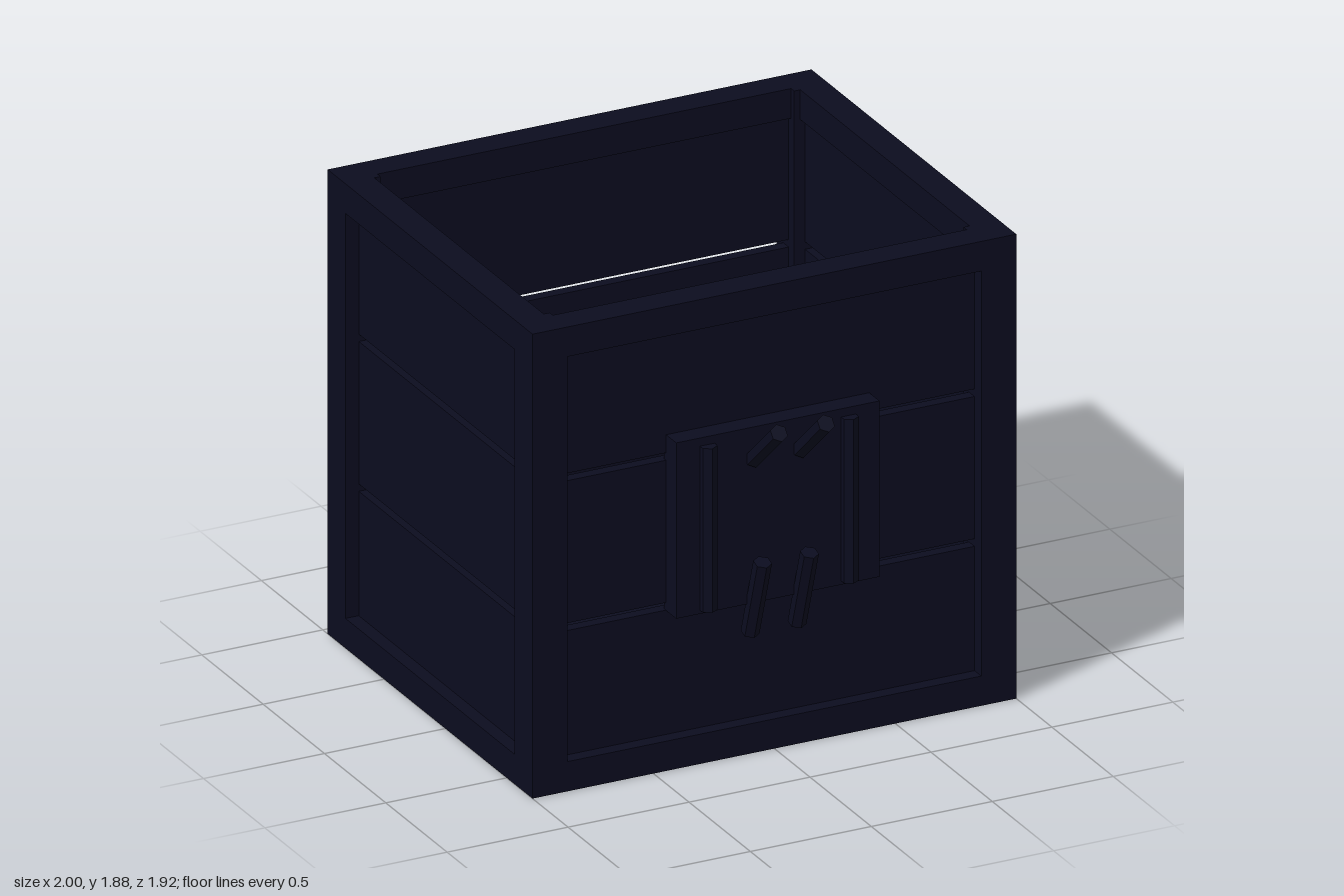
import * as THREE from 'three';

const navy = new THREE.MeshStandardMaterial({ color: 0x0b0c1f });
navy.name = 'dark navy';
const olive = new THREE.MeshStandardMaterial({ color: 0x6e725e });
olive.name = 'grey olive';

const W = 2, H = 1.875, BACK = -0.96, FRONT = 0.71;
const D = FRONT - BACK, MID = (FRONT + BACK) / 2;
const POST = 0.145, RAIL = 0.12;

// box given by its minimum and maximum corners
function box(parent, name, [x0, y0, z0], [x1, y1, z1]) {
  const mesh = new THREE.Mesh(new THREE.BoxGeometry(x1 - x0, y1 - y0, z1 - z0), navy);
  mesh.position.set((x0 + x1) / 2, (y0 + y1) / 2, (z0 + z1) / 2);
  mesh.name = name;
  parent.add(mesh);
}

// six-sided bar between two points
function rod(parent, name, from, to) {
  const a = new THREE.Vector3(...from), b = new THREE.Vector3(...to);
  const dir = b.clone().sub(a);
  const geo = new THREE.CylinderGeometry(0.035, 0.035, dir.length(), 6).toNonIndexed();
  geo.computeVertexNormals();
  const mesh = new THREE.Mesh(geo, navy);
  mesh.position.copy(a).add(b).multiplyScalar(0.5);
  mesh.quaternion.setFromUnitVectors(new THREE.Vector3(0, 1, 0), dir.normalize());
  mesh.name = name;
  parent.add(mesh);
}

// one wall seen along its outward +z: two rails and three boards with slits between
function wall(name, length) {
  const g = new THREE.Group();
  g.name = name;
  const h = length / 2 - POST;
  box(g, 'bottomRail', [-h, 0, -RAIL], [h, RAIL, 0]);
  box(g, 'topRail', [-h, H - RAIL, -RAIL], [h, H, 0]);
  for (const [y0, y1] of [[RAIL, 0.622], [0.652, 1.227], [1.257, H - RAIL]])
    box(g, 'board', [-h, y0, -0.1], [h, y1, -0.055]);
  return g;
}

export function createModel() {
  const model = new THREE.Group();
  model.name = 'openCrate';

  // corner posts
  for (const x of [-1, 1 - POST])
    for (const z of [BACK, FRONT - POST])
      box(model, 'cornerPost', [x, 0, z], [x + POST, H, z + POST]);

  // four walls
  const walls = [
    ['frontWall', W, 0, FRONT, 0],
    ['backWall', W, 0, BACK, Math.PI],
    ['leftWall', D, 1, MID, Math.PI / 2],
    ['rightWall', D, -1, MID, -Math.PI / 2],
  ];
  for (const [name, length, x, z, turn] of walls) {
    const w = wall(name, length);
    w.position.set(x, 0, z);
    w.rotation.y = turn;
    model.add(w);
  }

  // floor
  box(model, 'floor', [-0.9, 0.01, BACK + 0.1], [0.9, 0.08, FRONT - 0.1]);

  // front plate with its bars
  box(model, 'frontPlate', [-0.42, 0.62, 0.64], [0.42, 1.33, 0.738]);
  for (const s of [-1, 1]) {
    rod(model, 'uprightBar', [s * 0.292, 0.635, 0.745], [s * 0.292, 1.297, 0.745]);
    rod(model, 'upperPeg', [s * 0.097, 1.197, 0.73], [s * 0.097, 1.385, 0.94]);
    rod(model, 'lowerPeg', [s * 0.097, 0.487, 0.703], [s * 0.097, 0.81, 0.805]);
  }

  // faceted eight-sided lump on the floor
  const profile = [[0, 0], [0.2, 0], [0.25, 0.13], [0.21, 0.34], [0, 0.4]]
    .map(([r, y]) => new THREE.Vector2(r, y));
  const geo = new THREE.LatheGeometry(profile, 8).toNonIndexed();
  geo.computeVertexNormals();
  const lump = new THREE.Mesh(geo, olive);
  lump.name = 'facetedLump';
  lump.scale.z = 0.92;
  lump.position.set(0.385, 0.08, -0.06);
  model.add(lump);

  return model;
}
